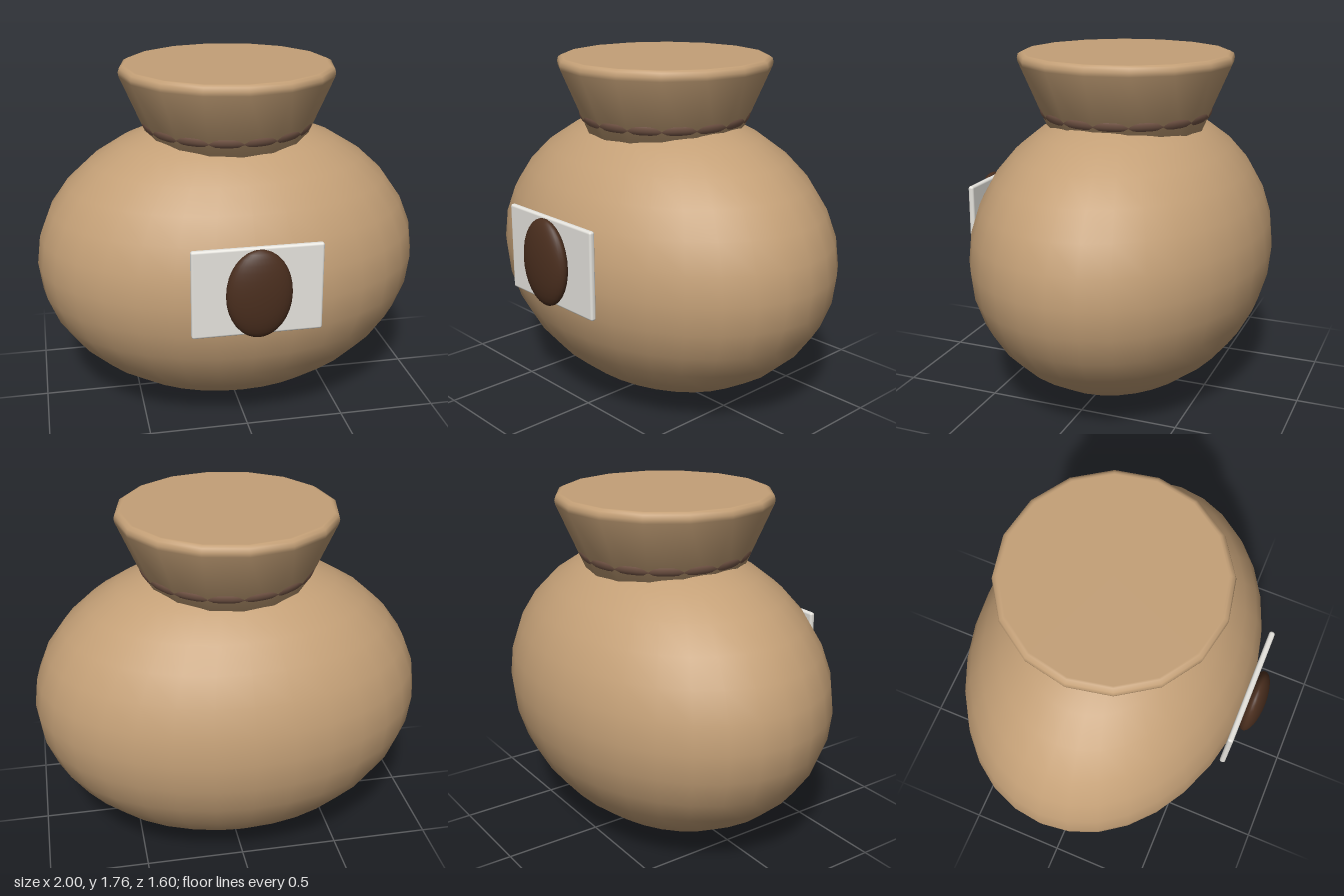
import * as THREE from 'three';
import { RoundedBoxGeometry } from 'three/addons/geometries/RoundedBoxGeometry.js';

export function createModel() {
  const model = new THREE.Group();
  model.name = 'sack';

  const material = (name, color) => {
    const m = new THREE.MeshStandardMaterial({ color });
    m.name = name;
    return m;
  };
  const burlap = material('burlap', 0xc4a077);
  const cord = material('cord', 0x7a5a4a);
  const paper = material('paper', 0xe6e4de);
  const coffee = material('coffee', 0x4a2e1e);

  const add = (name, geometry, mat, x, y, z) => {
    const mesh = new THREE.Mesh(geometry, mat);
    mesh.name = name;
    mesh.position.set(x, y, z);
    model.add(mesh);
    return mesh;
  };
  const axisZ = -0.045; // the sack sits slightly behind its label

  // Plump body
  add('body', new THREE.SphereGeometry(1, 32, 16), burlap, 0, 0.75, axisZ)
    .scale.set(1, 0.75, 0.755);

  // Flared, closed neck with a softened rim
  const profile = [
    [0, 1.32], [0.377, 1.32], [0.545, 1.71], [0.548, 1.73],
    [0.542, 1.75], [0.525, 1.76], [0.515, 1.76], [0, 1.76],
  ].map(([r, y]) => new THREE.Vector2(r, y));
  add('neck', new THREE.LatheGeometry(profile, 16), burlap, 0, 0, axisZ);

  // Tie cord, mostly sunk into the neck
  const ring = new THREE.TorusGeometry(0.389, 0.05, 16, 48);
  ring.rotateX(Math.PI / 2);
  add('tieCord', ring, cord, 0, 1.473, axisZ);

  // Label plate and the bean on it
  add('label', new RoundedBoxGeometry(0.63, 0.44, 0.03, 2, 0.012), paper, 0, 0.84, 0.7);
  add('bean', new THREE.SphereGeometry(1, 32, 16), coffee, 0, 0.84, 0.74)
    .scale.set(0.158, 0.22, 0.06);

  return model;
}
